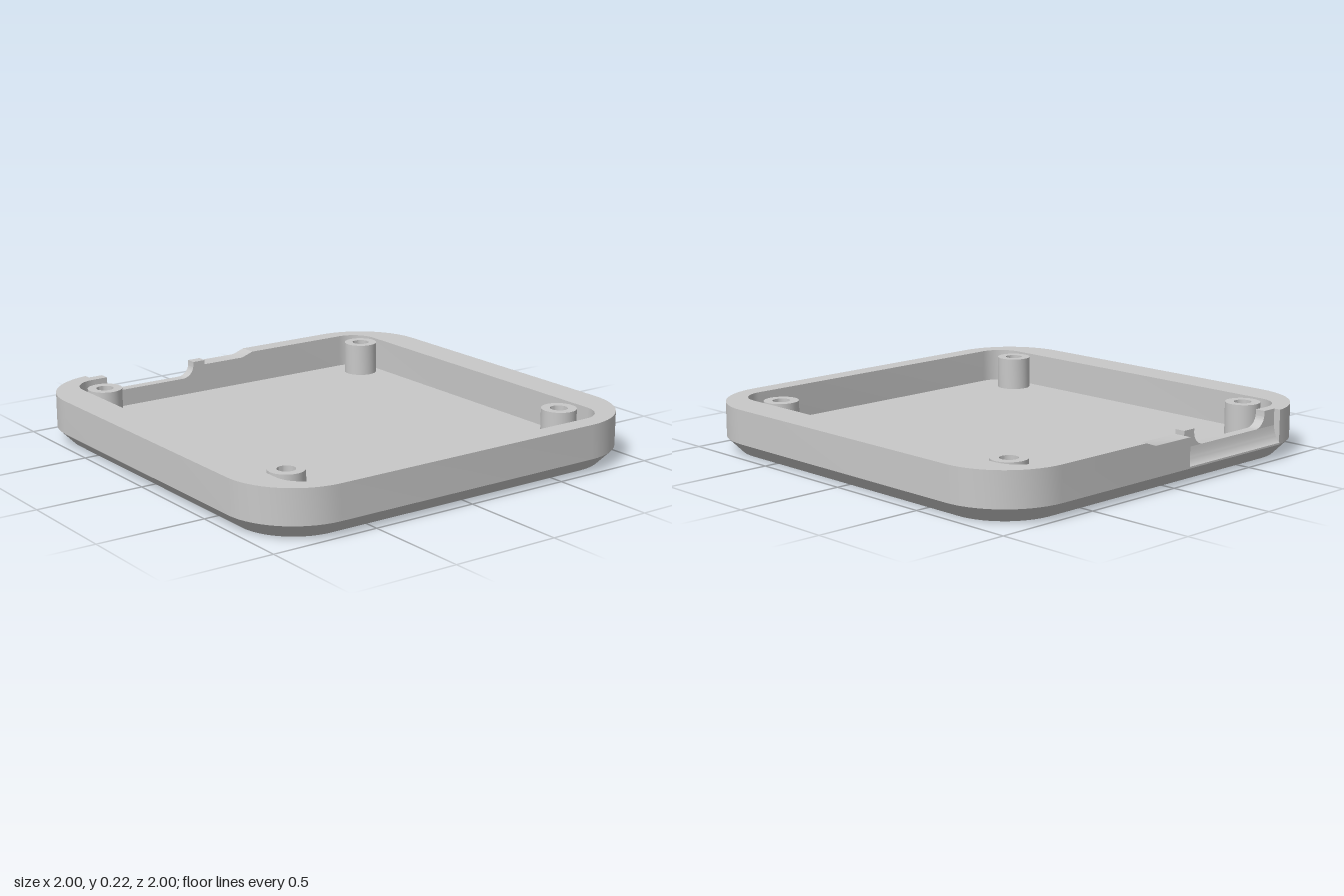
import * as THREE from 'three';
import { toCreasedNormals } from 'three/addons/utils/BufferGeometryUtils.js';

const TOP = 0.225, CHAMFER = 0.067, FLOOR = 0.07, RADIUS = 0.325;
const GAP_L = -0.715, GAP_R = 0.18;          // back wall span holding the port
const BACK = -1, STEP = -0.965, INNER = -0.917;
const POSTS = [[-0.74, -0.766], [0.74, -0.766], [-0.74, 0.713], [0.74, 0.713]];

// Rounded rectangle in x/z, from the back right corner round to the back left
function roundedRect(x0, x1, z0, z1, r, n = 14) {
  const pts = [];
  const centres = [[x1 - r, z0 + r], [x1 - r, z1 - r], [x0 + r, z1 - r], [x0 + r, z0 + r]];
  centres.forEach(([cx, cz], k) => {
    for (let i = 0; i <= n; i++) {
      const a = (k - 1 + i / n) * Math.PI / 2;
      pts.push(new THREE.Vector2(cx + r * Math.cos(a), cz + r * Math.sin(a)));
    }
  });
  return pts;
}

// Level plate with a round hole at every post; side is 1 facing up, -1 facing down
function plate(outline, holeRadius, side, y) {
  const shape = new THREE.Shape(outline.map(p => new THREE.Vector2(p.x, -side * p.y)));
  for (const [x, z] of POSTS) {
    shape.holes.push(new THREE.Path().absarc(x, -side * z, holeRadius, 0, Math.PI * 2, true));
  }
  return new THREE.ShapeGeometry(shape, 32).rotateX(-side * Math.PI / 2).translate(0, y, 0);
}

// Sloping band between two outlines with equal point counts
function band(low, yLow, high, yHigh) {
  const n = low.length, pos = [], idx = [];
  low.forEach(p => pos.push(p.x, yLow, p.y));
  high.forEach(p => pos.push(p.x, yHigh, p.y));
  for (let i = 0; i < n; i++) {
    const j = (i + 1) % n;
    idx.push(i, n + i, j, j, n + i, n + j);
  }
  const geo = new THREE.BufferGeometry();
  geo.setAttribute('position', new THREE.Float32BufferAttribute(pos, 3));
  geo.setIndex(idx);
  return geo;
}

// Solid profile of a given thickness
function slab(shape, depth) {
  return new THREE.ExtrudeGeometry(shape, { depth, bevelEnabled: false, curveSegments: 10 });
}

export function createModel() {
  const group = new THREE.Group();
  const grey = new THREE.MeshStandardMaterial({ color: 0xc8c8c8 });
  grey.name = 'light grey plastic';
  const add = (name, geo) => {
    const mesh = new THREE.Mesh(toCreasedNormals(geo, 0.5), grey);
    mesh.name = name;
    group.add(mesh);
    return mesh;
  };

  const outer = roundedRect(-1, 1, -1, 1, RADIUS);
  const inset = 1 - CHAMFER;
  const foot = roundedRect(-inset, inset, -inset, inset, RADIUS - CHAMFER);
  const cavity = roundedRect(-0.842, 0.84, INNER, 0.913, 0.125);

  // Underside, chamfer and tray floor
  add('underside', plate(foot, 0.07, -1, 0));
  add('chamfer', band(foot, 0, outer, CHAMFER));
  add('floor', plate(cavity, 0.075, 1, FLOOR));

  // Wall, open at the back where the port section fits
  const inGap = p => p.y < -0.9 && p.x > GAP_L && p.x < GAP_R;
  const wall = new THREE.Shape([
    new THREE.Vector2(GAP_R, BACK), ...outer.filter(p => !inGap(p)),
    new THREE.Vector2(GAP_L, BACK + 0.003), new THREE.Vector2(GAP_L, INNER),
    ...cavity.filter(p => !inGap(p)).reverse(),
    new THREE.Vector2(GAP_R, INNER),
  ]);
  add('wall', slab(wall, TOP - CHAMFER).rotateX(Math.PI / 2).translate(0, TOP, 0));

  // Dipped rim beside the port
  const recessR = -0.1, sill = 0.15;
  const dip = new THREE.Shape()
    .moveTo(recessR, CHAMFER).lineTo(GAP_R, CHAMFER).lineTo(GAP_R, TOP)
    .lineTo(0.12, 0.204).lineTo(recessR, 0.204);
  add('dippedRim', slab(dip, INNER - BACK).translate(0, 0, BACK));

  // Hollowed ramp rising from the outer face to the slot sill
  const ramp = new THREE.Shape()
    .moveTo(BACK, CHAMFER).lineTo(STEP, CHAMFER).lineTo(STEP, sill)
    .quadraticCurveTo(-0.974, 0.09, BACK, 0.075);
  add('portRamp', slab(ramp, recessR - GAP_L).rotateY(-Math.PI / 2).translate(recessR, 0, 0));

  // Inner port wall with a round-cornered slot
  const slotL = -0.645, slotR = -0.165, r = 0.06;
  const slot = new THREE.Shape()
    .moveTo(GAP_L, CHAMFER).lineTo(recessR, CHAMFER).lineTo(recessR, TOP)
    .lineTo(slotR, TOP).lineTo(slotR, sill + r)
    .absarc(slotR - r, sill + r, r, 0, -Math.PI / 2, true)
    .lineTo(slotL + r, sill)
    .absarc(slotL + r, sill + r, r, -Math.PI / 2, -Math.PI, true)
    .lineTo(slotL, TOP).lineTo(GAP_L, TOP);
  add('portSlot', slab(slot, INNER - STEP).translate(0, 0, STEP));

  // Hollow screw posts with a wider bore from below
  const postProfile = [
    [0.08, FLOOR], [0.08, 0.222], [0.04, 0.222], [0.04, 0.1], [0.07, 0.1], [0.07, 0],
  ].map(([x, y]) => new THREE.Vector2(x, y));
  for (const [x, z] of POSTS) {
    add('screwPost', new THREE.LatheGeometry(postProfile, 32)).position.set(x, 0, z);
  }
  return group;
}
